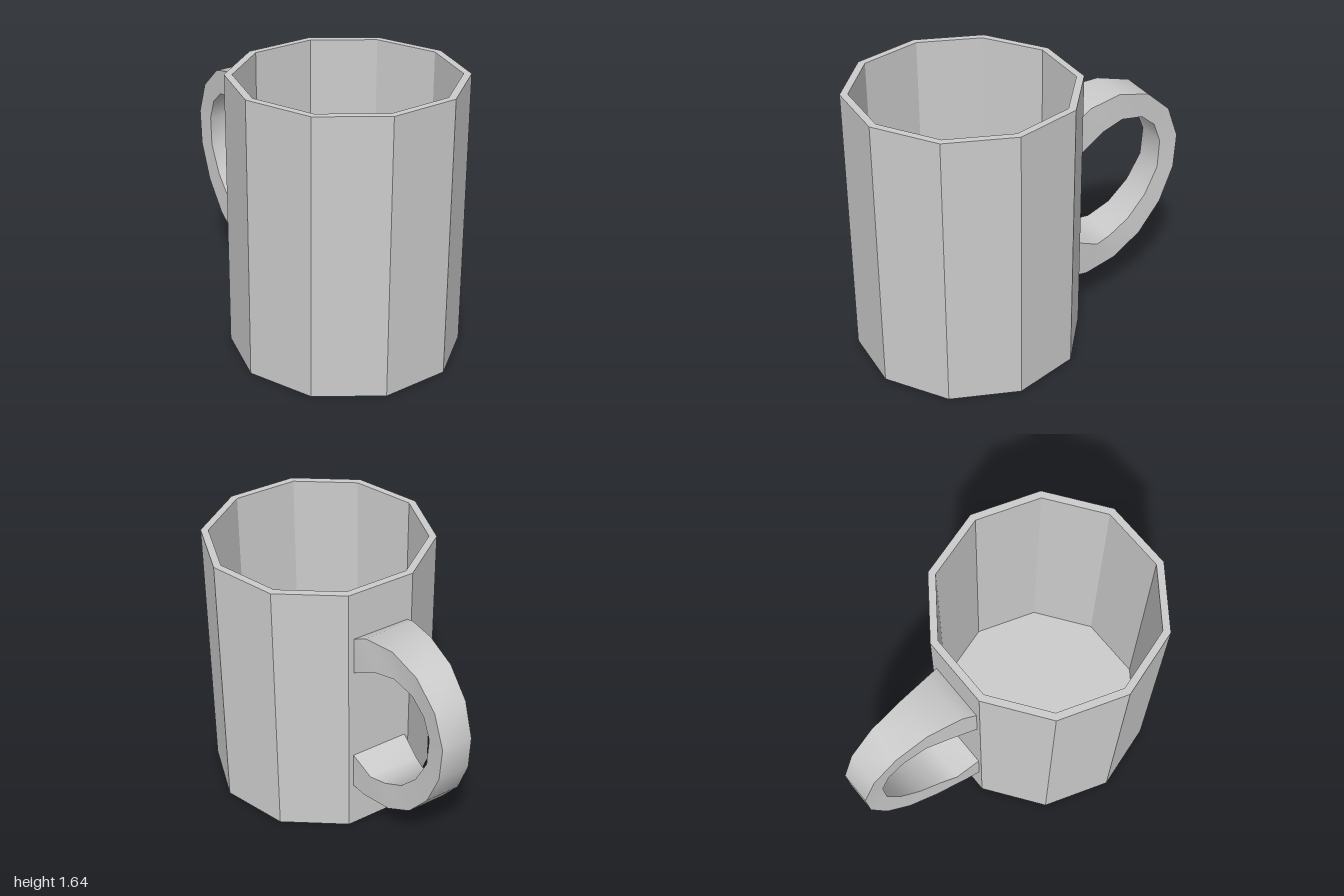
import * as THREE from 'three';

const CENTRE_Z = 0.362;

// Ten-sided cup wall, rim, inner floor and recessed foot in one closed profile
function createCup() {
  const profile = [
    [0, 0.025], [0.632, 0.025], [0.642, 0], [0.67, 0],
    [0.67, 1.637], [0.626, 1.637], [0.626, 0.06], [0, 0.06],
  ].map(([r, y]) => new THREE.Vector2(r, y));
  const geometry = new THREE.LatheGeometry(profile, 10, Math.PI / 2);
  const cup = new THREE.Mesh(geometry,
    new THREE.MeshStandardMaterial({ color: 0xcccccc, flatShading: true }));
  cup.name = 'cup';
  cup.position.z = CENTRE_Z;
  return cup;
}

// Curved grip that flares where it meets the wall
function createHandle() {
  // outer z, outer y, inner z, inner y, half width
  const sections = [
    [-0.265, 1.34, -0.265, 1.11, 0.178],
    [-0.355, 1.387, -0.45, 1.22, 0.155],
    [-0.565, 1.415, -0.59, 1.25, 0.125],
    [-0.77, 1.365, -0.735, 1.225, 0.11],
    [-0.925, 1.228, -0.83, 1.145, 0.1],
    [-1, 1.03, -0.88, 1.02, 0.094],
    [-0.985, 0.82, -0.87, 0.845, 0.097],
    [-0.895, 0.605, -0.785, 0.68, 0.105],
    [-0.75, 0.425, -0.665, 0.55, 0.115],
    [-0.565, 0.31, -0.53, 0.475, 0.13],
    [-0.355, 0.275, -0.425, 0.46, 0.16],
    [-0.265, 0.297, -0.265, 0.53, 0.18],
  ];
  const rings = sections.map(([oz, oy, iz, iy, w]) =>
    [[w, oy, oz], [-w, oy, oz], [-w, iy, iz], [w, iy, iz]]);

  // Separate strips keep the long edges crisp and the bend smooth
  const positions = [], index = [];
  for (let side = 0; side < 4; side++) {
    const start = positions.length / 3;
    rings.forEach((ring, i) => {
      positions.push(...ring[side], ...ring[(side + 1) % 4]);
      if (i === rings.length - 1) return;
      const a = start + i * 2, b = a + 1, c = a + 2, d = a + 3;
      index.push(a, c, b, b, c, d);
    });
  }
  const geometry = new THREE.BufferGeometry();
  geometry.setAttribute('position', new THREE.Float32BufferAttribute(positions, 3));
  geometry.setIndex(index);
  geometry.computeVertexNormals();
  const handle = new THREE.Mesh(geometry,
    new THREE.MeshStandardMaterial({ color: 0xcccccc }));
  handle.name = 'handle';
  handle.position.x = -0.004;
  return handle;
}

export function createModel() {
  const mug = new THREE.Group();
  mug.name = 'mug';
  mug.add(createCup(), createHandle());
  return mug;
}
